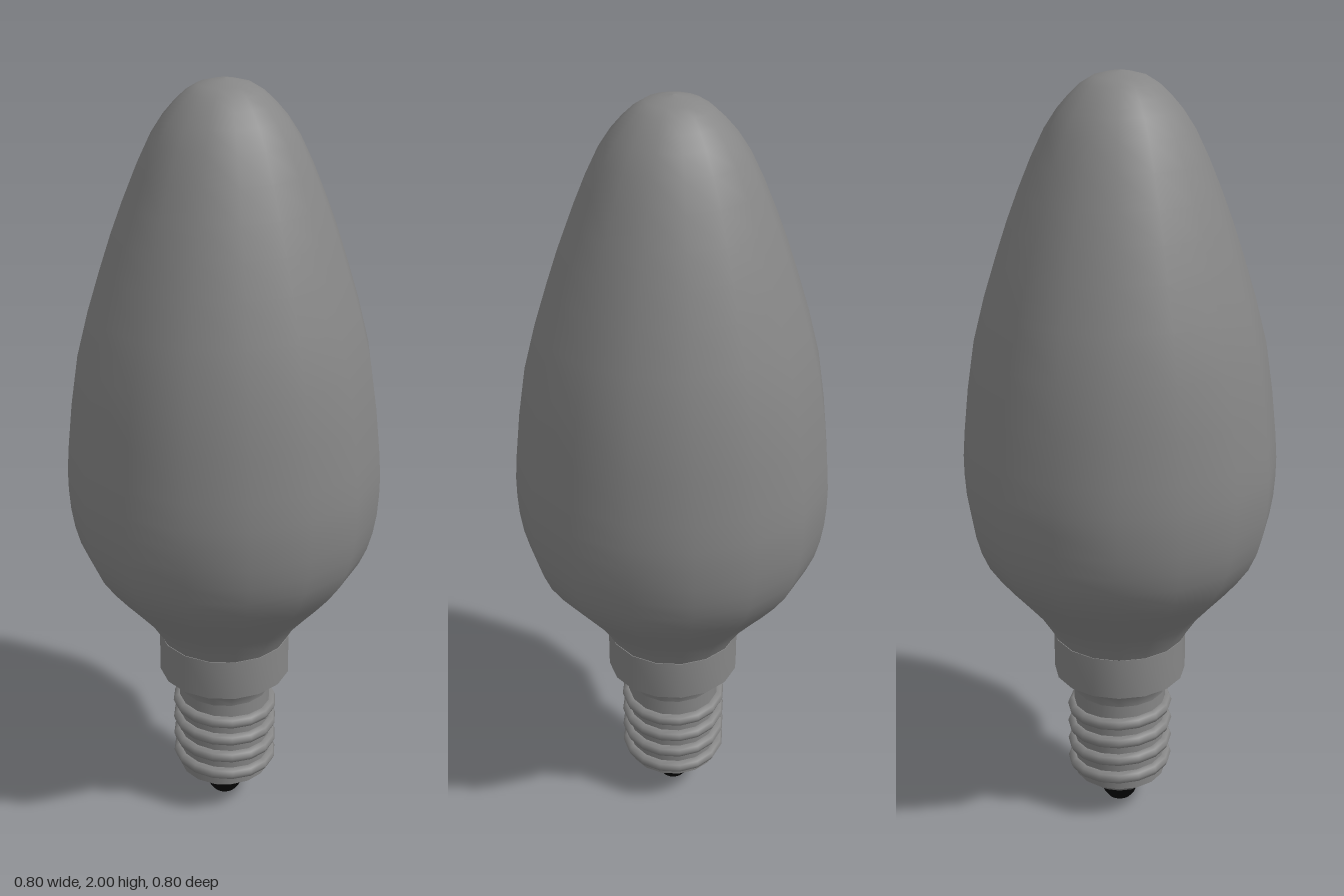
import * as THREE from 'three';
import { toCreasedNormals } from 'three/addons/utils/BufferGeometryUtils.js';

const SIDES = 16;
const grey = new THREE.MeshStandardMaterial({ color: 0x868686 });
const black = new THREE.MeshStandardMaterial({ color: 0x050505 });

const toPoints = (profile) => profile.map(([r, y]) => new THREE.Vector2(r, y));

// Turned part with crisp edges from [radius, height] pairs, listed bottom to top
function turned(name, profile, material) {
  const geometry = toCreasedNormals(new THREE.LatheGeometry(toPoints(profile), SIDES), 0.7);
  const mesh = new THREE.Mesh(geometry, material);
  mesh.name = name;
  return mesh;
}

export function createModel() {
  const lamp = new THREE.Group();
  lamp.name = 'candleBulb';

  // Glass candle envelope: a smooth curve turned around the axis
  const outline = new THREE.SplineCurve(toPoints([
    [0.175, 0.53], [0.217, 0.6], [0.29, 0.685], [0.357, 0.775], [0.39, 0.87],
    [0.402, 0.98], [0.397, 1.1], [0.365, 1.34], [0.302, 1.56], [0.245, 1.72],
    [0.18, 1.865], [0.12, 1.945], [0.065, 1.987], [0, 2],
  ]));
  const glass = new THREE.Mesh(new THREE.LatheGeometry(outline.getPoints(26), SIDES), grey);
  glass.name = 'glassBulb';
  lamp.add(glass);

  // Collar gripping the glass, with its tucked-in lower lip
  lamp.add(turned('collar', [
    [0.125, 0.36], [0.13, 0.385], [0.145, 0.402], [0.177, 0.417], [0.177, 0.53], [0.16, 0.53],
  ], grey));

  // Screw base
  lamp.add(turned('screwBase', [
    [0.055, 0.058], [0.085, 0.068], [0.125, 0.1], [0.125, 0.37],
  ], grey));

  // Screw threads, slightly tilted
  const threads = new THREE.Group();
  threads.name = 'screwThreads';
  for (let i = 0; i < 4; i++) {
    const thread = new THREE.Mesh(new THREE.TorusGeometry(0.126, 0.017, 8, SIDES), grey);
    thread.name = 'thread';
    thread.rotation.set(Math.PI / 2, -0.05, 0);
    thread.position.y = 0.137 + i * 0.056;
    threads.add(thread);
  }
  lamp.add(threads);

  // Black insulator and the small metal contact beneath it
  lamp.add(turned('insulator', [
    [0.024, 0.004], [0.034, 0.006], [0.044, 0.02], [0.054, 0.045], [0.063, 0.06], [0.03, 0.066],
  ], black));
  lamp.add(turned('contact', [[0, 0], [0.02, 0.001], [0.026, 0.006]], grey));

  return lamp;
}
